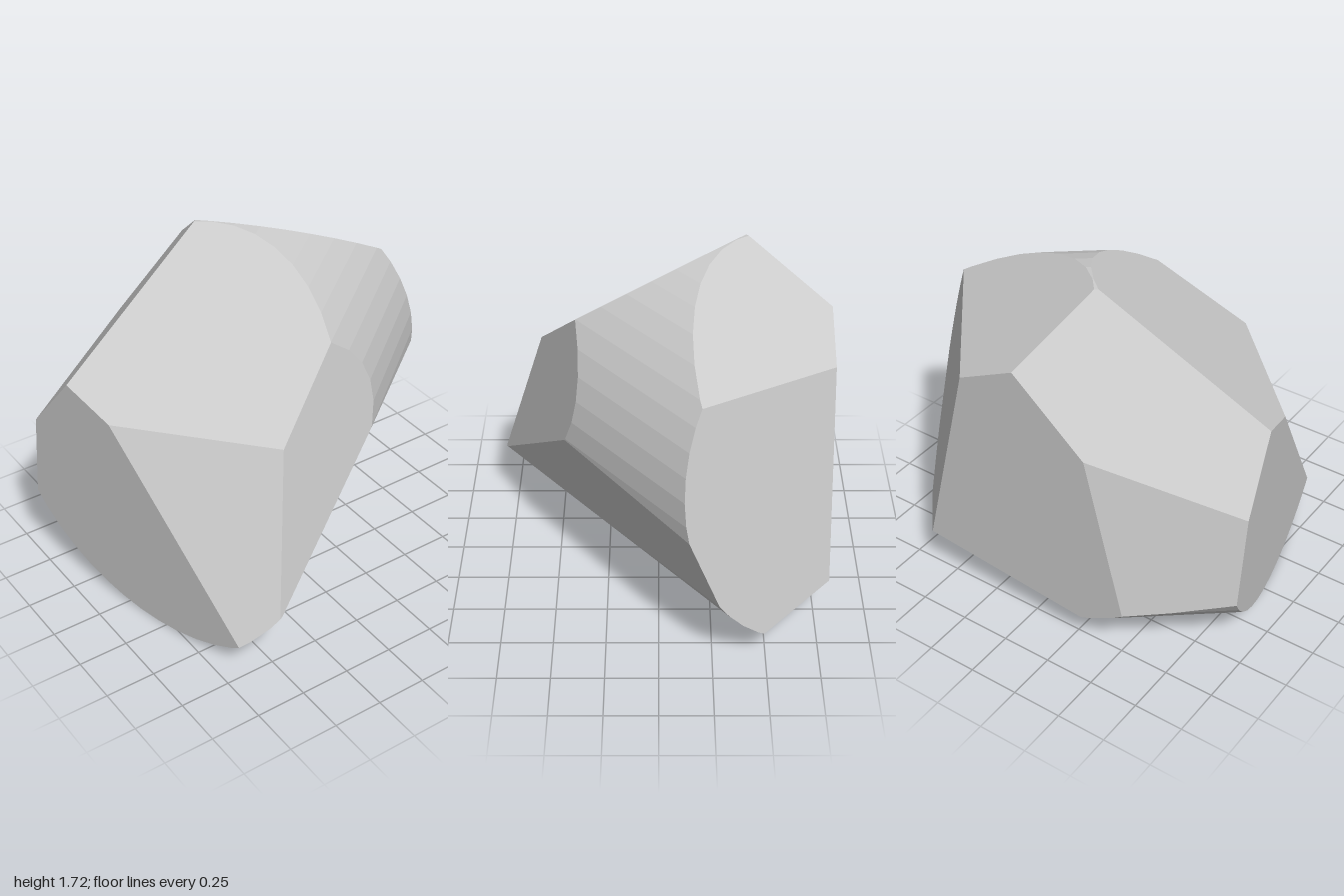
import * as THREE from 'three';

const V = (x, y, z) => new THREE.Vector3(x, y, z);
const inside = V(-0.1, 0.8, -0.1);

// Plane through three points, facing away from the middle of the body
function cut(a, b, c) {
  const p = new THREE.Plane().setFromCoplanarPoints(V(...a), V(...b), V(...c));
  return p.distanceToPoint(inside) > 0 ? p.negate() : p;
}

// Part of a polygon that lies behind a plane
function clip(poly, plane) {
  const out = [];
  poly.forEach((a, i) => {
    const b = poly[(i + 1) % poly.length];
    const da = plane.distanceToPoint(a), db = plane.distanceToPoint(b);
    if (da <= 0) out.push(a);
    if (da * db < 0) out.push(a.clone().lerp(b, da / (da - db)));
  });
  return out;
}

// Large square on a plane, trimmed by all the other planes
function face(plane, planes) {
  const n = plane.normal;
  const u = V(0, 1, 0).cross(n);
  if (u.length() < 0.01) u.set(1, 0, 0).cross(n);
  u.normalize();
  const w = n.clone().cross(u);
  const o = plane.projectPoint(inside, V(0, 0, 0));
  let poly = [[-4, -4], [4, -4], [4, 4], [-4, 4]].map(([s, t]) =>
    o.clone().addScaledVector(u, s).addScaledVector(w, t));
  for (const p of planes) if (p !== plane) poly = clip(poly, p);
  return poly;
}

function facesMesh(name, own, planes) {
  const pos = [], nor = [];
  for (const plane of own) {
    const poly = face(plane, planes);
    for (let i = 1; i < poly.length - 1; i++) {
      for (const p of [poly[0], poly[i], poly[i + 1]]) {
        pos.push(p.x, p.y, p.z);
        nor.push(...plane.normal.toArray());
      }
    }
  }
  const g = new THREE.BufferGeometry();
  g.setAttribute('position', new THREE.Float32BufferAttribute(pos, 3));
  g.setAttribute('normal', new THREE.Float32BufferAttribute(nor, 3));
  const mesh = new THREE.Mesh(g, new THREE.MeshStandardMaterial({ color: 0xcccccc, flatShading: true }));
  mesh.name = name;
  return mesh;
}

export function createModel() {
  // Corners shared by the cut faces
  const peak = [-0.13, 1.72, -0.41], leftTop = [-0.95, 1.19, -0.25];
  const frontTop = [-0.32, 1.06, 0.58], frontLow = [-0.49, 0.31, 0.8];
  const backTop = [0.04, 1.43, -0.81], backRight = [0.34, 1.28, -0.81];
  const backLow = [0.59, 0.25, -0.81], backLeft = [-0.34, 1.1, -0.81];
  const sideLow = [0.86, 0.16, -0.5];

  const cuts = [
    cut(peak, leftTop, frontTop),                                    // upper front slope
    cut([-0.89, 1.09, -0.01], frontTop, frontLow),                   // front left
    cut(frontTop, [0.08, 1.37, 0.39], frontLow),                     // front
    cut([0.26, 0.86, 0.47], [1, 0.78, -0.13], [0.98, 0.44, -0.26]),  // lower front flat
    cut([0.82, 1.35, -0.19], backRight, backLow),                    // end at +x
    cut(leftTop, [-0.66, 0.16, 0.72], [-1, 0.41, -0.56]),            // end at -x
    cut(peak, backTop, backRight),                                   // upper back, +x
    cut(peak, backTop, leftTop),                                     // upper back, -x
    cut([-1, 0.875, -0.5], backLeft, [-1, 0.41, -0.56]),             // back corner, -x
    cut(sideLow, backLow, [-0.32, 0.16, -0.81]),                     // lower back
    new THREE.Plane(V(0, 0, -1), -0.81),                             // back
  ];

  // Facets of the lying cylinder that the cuts trim
  const side = V(0.625, 0, 0.781), centre = V(0, 0.86, 0).addScaledVector(side, -0.33);
  const sides = 48, r = 0.858, barrel = [];
  for (let i = 0; i < sides; i++) {
    const a = ((i + 0.5) / sides) * Math.PI * 2;
    const n = side.clone().multiplyScalar(Math.cos(a)).add(V(0, Math.sin(a), 0)).normalize();
    const p = centre.clone().addScaledVector(n, r * Math.cos(Math.PI / sides));
    barrel.push(new THREE.Plane().setFromNormalAndCoplanarPoint(n, p));
  }

  const planes = [...cuts, ...barrel];
  const group = new THREE.Group();
  group.name = 'cutCylinder';
  group.add(facesMesh('curvedSide', barrel, planes), facesMesh('cutFaces', cuts, planes));
  return group;
}
